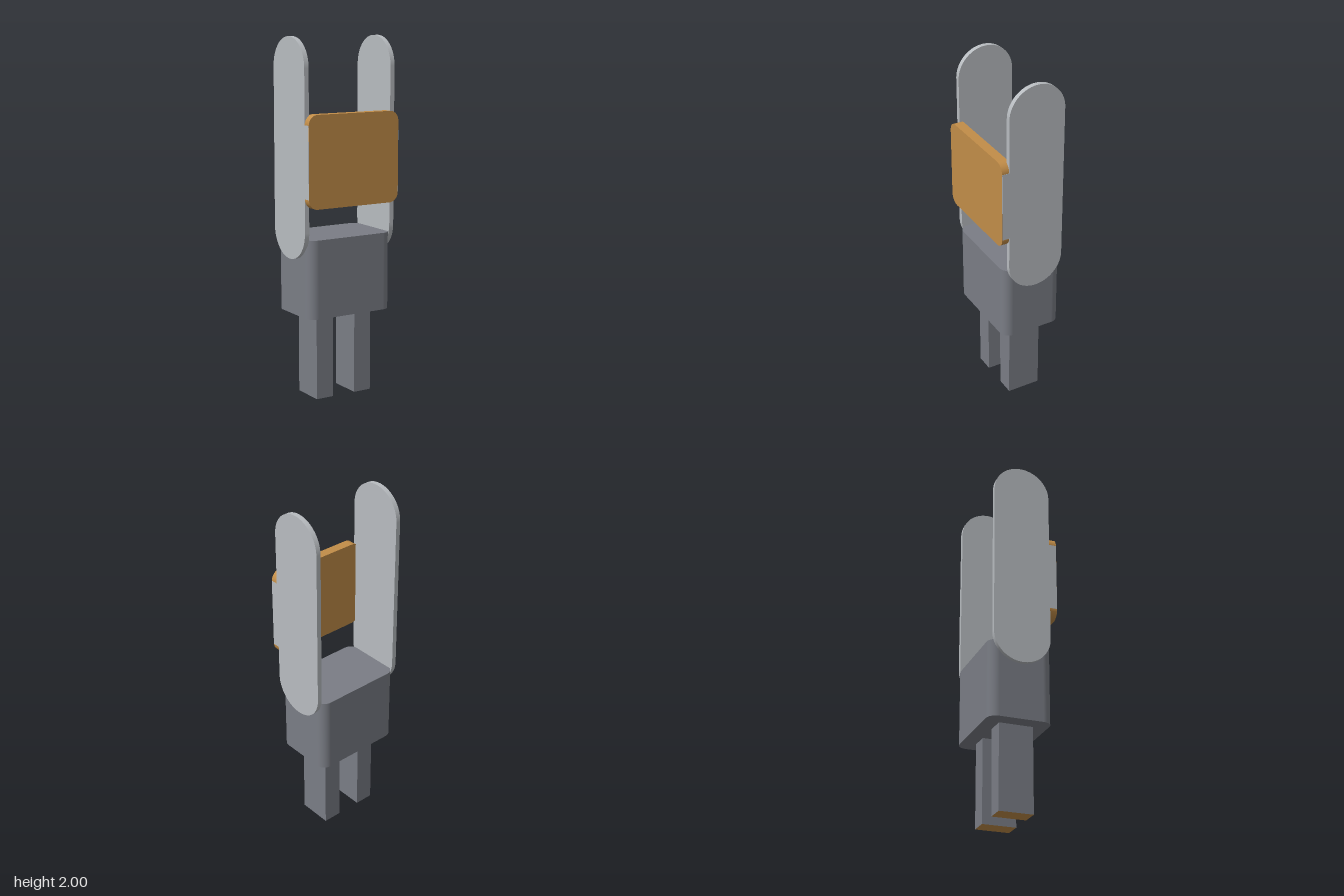
import * as THREE from 'three';

const mat = (name, color) => {
  const m = new THREE.MeshStandardMaterial({ color });
  m.name = name;
  return m;
};

// Rounded rectangle centred on the origin
function roundedRect(w, h, r) {
  const x = w / 2, y = h / 2, s = new THREE.Shape();
  s.moveTo(x, -y + r);
  s.lineTo(x, y - r);
  s.absarc(x - r, y - r, r, 0, Math.PI / 2);
  s.lineTo(-x + r, y);
  s.absarc(-x + r, y - r, r, Math.PI / 2, Math.PI);
  s.lineTo(-x, -y + r);
  s.absarc(-x + r, -y + r, r, Math.PI, Math.PI * 1.5);
  s.lineTo(x - r, -y);
  s.absarc(x - r, -y + r, r, Math.PI * 1.5, Math.PI * 2);
  return s;
}

// Extruded slab with smooth rounded sides and crisp caps, centred in depth
function slab(w, h, r, depth, curveSegments) {
  const g = new THREE.ExtrudeGeometry(roundedRect(w, h, r), { depth, bevelEnabled: false, curveSegments });
  g.translate(0, 0, -depth / 2);
  // Side normals follow the corner arcs
  const p = g.attributes.position, n = g.attributes.normal, side = g.groups[1];
  for (let i = side.start; i < side.start + side.count; i++) {
    const cx = THREE.MathUtils.clamp(p.getX(i), -w / 2 + r, w / 2 - r);
    const cy = THREE.MathUtils.clamp(p.getY(i), -h / 2 + r, h / 2 - r);
    const v = new THREE.Vector3(p.getX(i) - cx, p.getY(i) - cy, 0).normalize();
    n.setXYZ(i, v.x, v.y, v.z);
  }
  return g;
}

export function createModel() {
  const group = new THREE.Group();
  const grey = mat('dark grey', 0x7a7d85);
  const silver = mat('silver', 0xb8bcc0);
  const gold = mat('ochre', 0xc28d48);

  const add = (name, geometry, material, x, y, z) => {
    const m = new THREE.Mesh(geometry, material);
    m.name = name;
    m.position.set(x, y, z);
    group.add(m);
    return m;
  };

  // Body block with rounded vertical edges
  const body = slab(0.53, 0.357, 0.055, 0.437, 6);
  body.rotateX(-Math.PI / 2);
  add('body', body, grey, 0, 0.6985, -0.0135);

  // Front panel
  add('frontPanel', slab(0.572, 0.505, 0.055, 0.055, 8), gold, 0, 1.3425, 0.1625);

  const plate = slab(0.326, 1.205, 0.1629, 0.027, 24);
  plate.rotateY(Math.PI / 2);
  const leg = new THREE.BoxGeometry(0.107, 0.5, 0.193);
  const legMaterials = [grey, grey, grey, gold, grey, grey];

  for (const [side, s] of [['left', 1], ['right', -1]]) {
    // Upright plate with round ends
    add(side + 'Plate', plate, silver, s * 0.2735, 1.3975, -0.015);
    // Thin silver edge on the end of the panel
    add(side + 'PanelEdge', new THREE.BoxGeometry(0.004, 0.395, 0.0495), silver, s * 0.285, 1.3425, 0.1647);
    // Leg with an ochre sole
    add(side + 'Leg', leg, legMaterials, s * 0.1235, 0.25, -0.0115);
  }
  return group;
}
